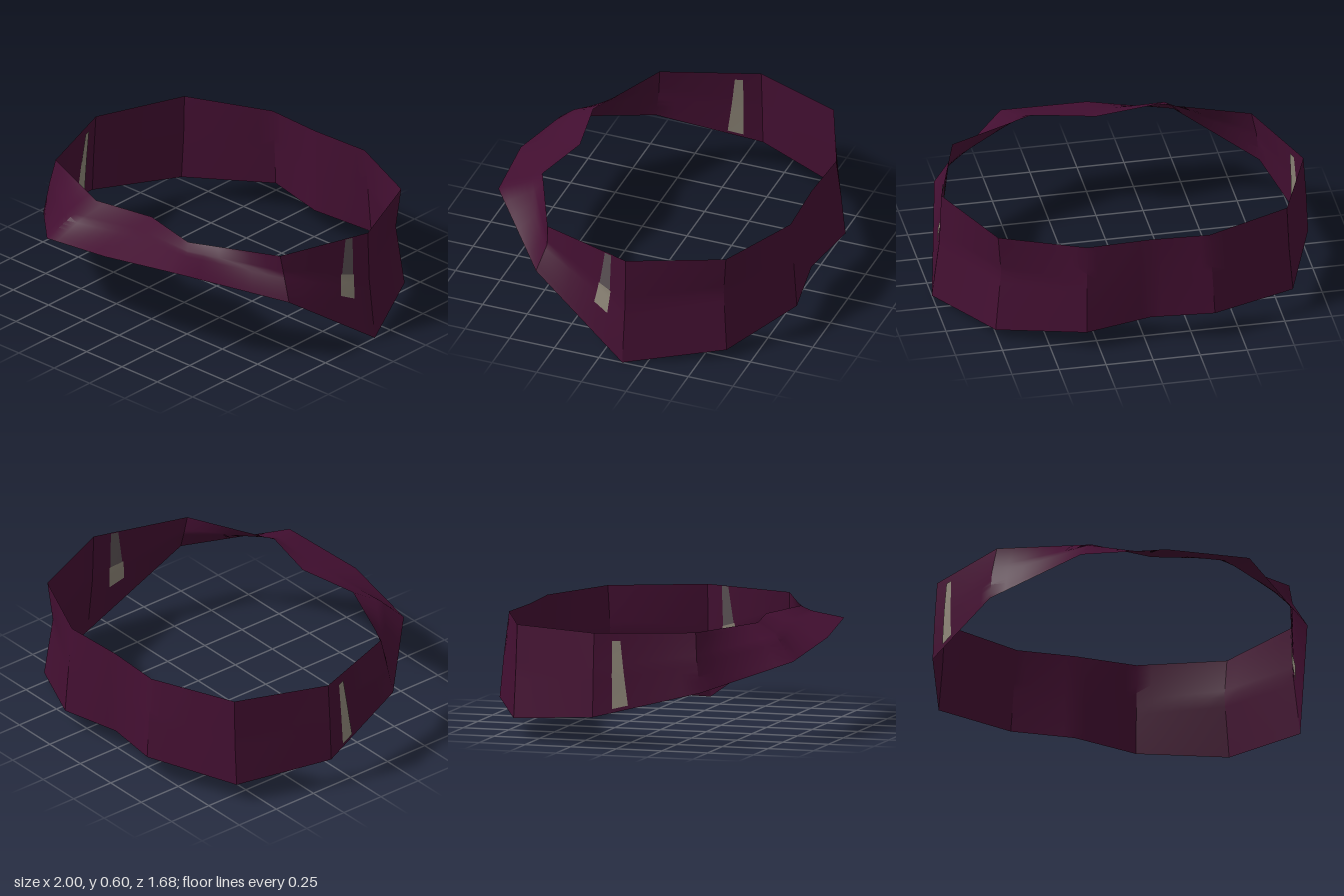
import * as THREE from 'three';
import { toCreasedNormals } from 'three/addons/utils/BufferGeometryUtils.js';

// Wall columns around the ring, from the +x side via the front: top, middle, bottom
const columns = [
  [[0.95, 0.6, -0.13], [0.96, 0.33, -0.13], [1.0, 0, -0.13]],
  [[0.79, 0.6, 0.37], [0.81, 0.5, 0.365], [0.88, 0.37, 0.4]],
  [[0.33, 0.6, 0.58], [0.37, 0.57, 0.63], [0.45, 0.53, 0.78]],
  [[0, 0.6, 0.5], [0, 0.565, 0.62], [-0.02, 0.49, 0.84]],
  [[-0.34, 0.6, 0.56], [-0.4, 0.53, 0.69], [-0.47, 0.42, 0.795]],
  [[-0.8, 0.6, 0.37], [-0.83, 0.46, 0.385], [-0.85, 0.29, 0.41]],
  [[-0.975, 0.6, -0.13], [-0.99, 0.38, -0.13], [-1.0, 0.16, -0.13]],
  [[-0.79, 0.6, -0.61], [-0.8, 0.36, -0.615], [-0.82, 0.11, -0.62]],
  [[-0.34, 0.6, -0.8], [-0.35, 0.38, -0.825], [-0.36, 0.15, -0.845]],
  [[-0.03, 0.6, -0.785], [-0.03, 0.36, -0.785], [-0.03, 0.13, -0.785]],
  [[0.31, 0.6, -0.8], [0.315, 0.37, -0.82], [0.32, 0.11, -0.84]],
  [[0.745, 0.6, -0.61], [0.725, 0.38, -0.59], [0.76, 0.05, -0.62]],
].map(col => col.map(p => new THREE.Vector3(...p)));

// Point down one column, v = 0 at the top and 1 at the bottom
function onColumn(col, v) {
  const row = v < 0.5 ? 0 : 1;
  return col[row].clone().lerp(col[row + 1], v * 2 - row);
}

// Point on a wall panel between two neighbouring columns
function onPanel(i, t, v) {
  return onColumn(columns[i], v).lerp(onColumn(columns[(i + 1) % columns.length], v), t);
}

// Grid surface from a point function
function surface(point, nu, nv) {
  const pos = [], index = [];
  for (let j = 0; j <= nv; j++)
    for (let i = 0; i <= nu; i++) pos.push(...point(i / nu, j / nv).toArray());
  for (let j = 0; j < nv; j++)
    for (let i = 0; i < nu; i++) {
      const a = j * (nu + 1) + i, b = a + 1, c = a + nu + 1, d = c + 1;
      index.push(a, b, c, b, d, c);
    }
  const g = new THREE.BufferGeometry();
  g.setAttribute('position', new THREE.Float32BufferAttribute(pos, 3));
  g.setIndex(index);
  return toCreasedNormals(g, 0.55);
}

export function createModel() {
  const model = new THREE.Group();
  const material = (name, color) =>
    new THREE.MeshStandardMaterial({ name, color, side: THREE.DoubleSide });
  const plum = material('plum', 0x430f31);
  const paleGrey = material('paleGrey', 0x8c8476);
  const darkGrey = material('darkGrey', 0x5a5154);

  const add = (name, geometry, mat) => {
    const mesh = new THREE.Mesh(geometry, mat);
    mesh.name = name;
    model.add(mesh);
  };

  // Faceted band with its front swept forward into a narrow brim
  const n = columns.length, sub = 6;
  add('band', surface((u, v) => {
    const s = Math.round(u * n * sub), i = Math.floor(s / sub);
    return onPanel(i % n, s / sub - i, v);
  }, n * sub, 12), plum);

  // Thin strip lying on both faces of a panel; each end is [v, tStart, tEnd]
  function strip(name, panel, upper, lower, mat) {
    const out = onPanel(panel, 0.9, 0.5).sub(onPanel(panel, 0.1, 0.5));
    out.set(out.z, 0, -out.x).normalize();
    for (const side of [1, -1]) {
      const geometry = surface((u, w) => {
        const [v, t0, t1] = upper.map((a, k) => THREE.MathUtils.lerp(a, lower[k], w));
        return onPanel(panel, THREE.MathUtils.lerp(t0, t1, u), v).addScaledVector(out, 0.005 * side);
      }, 2, 8);
      add(name + (side > 0 ? 'Outside' : 'Inside'), geometry, mat);
    }
  }

  // Side strips
  strip('leftStripUpper', 0, [0.005, 0.18, 0.26], [0.45, 0.19, 0.32], darkGrey);
  strip('leftStripTip', 0, [0.45, 0.18, 0.33], [0.69, 0.2, 0.36], paleGrey);
  strip('rightStrip', 5, [0.1, 0.74, 0.82], [0.95, 0.67, 0.82], paleGrey);
  return model;
}
